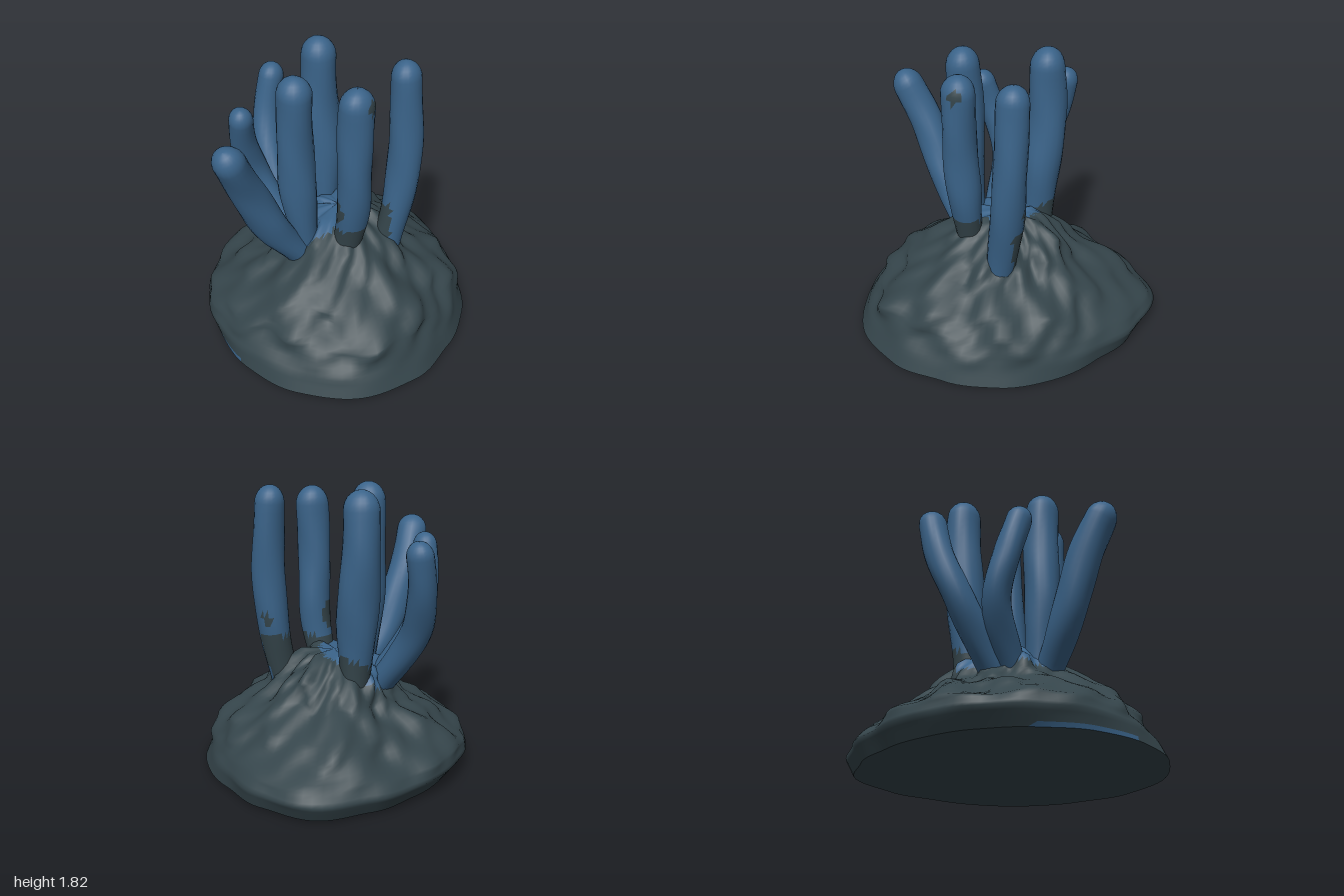
import * as THREE from 'three';

const { lerp, smoothstep } = THREE.MathUtils;
const blue = new THREE.MeshStandardMaterial({ color: 0x3a6389 });
blue.name = 'tentacle blue';
const grey = new THREE.MeshStandardMaterial({ color: 0x35454b });
grey.name = 'mound grey';

// Skins closed rings of points, bottom to top; isBlue(centroid) picks each face's colour
function loft(name, rings, isBlue) {
  const n = rings[0].length, pts = rings.flat();
  const faces = [[], []], mid = new THREE.Vector3();
  for (let i = 0; i < rings.length - 1; i++) {
    for (let j = 0; j < n; j++) {
      const a = i * n + j, b = i * n + (j + 1) % n, c = a + n, d = b + n;
      for (const tri of [[a, c, b], [b, c, d]]) {
        mid.set(0, 0, 0);
        tri.forEach(k => mid.addScaledVector(pts[k], 1 / 3));
        faces[isBlue(mid) ? 0 : 1].push(...tri);
      }
    }
  }
  const geo = new THREE.BufferGeometry().setFromPoints(pts);
  geo.setIndex([...faces[0], ...faces[1]]);
  geo.addGroup(0, faces[0].length, 0);
  geo.addGroup(faces[0].length, faces[1].length, 1);
  geo.computeVertexNormals();
  const mesh = new THREE.Mesh(geo, [blue, grey]);
  mesh.name = name;
  return mesh;
}

// Eased value at angle a from a list spread evenly around the circle
function around(list, a) {
  const s = a / (Math.PI * 2) * list.length, i = Math.floor(s), f = s - i;
  return lerp(list[i % list.length], list[(i + 1) % list.length], f * f * (3 - 2 * f));
}

// Footprint radius from +x towards +z
const outline = [.87, .9, .97, 1.01, .985, .95, .925, .88, .85, .83, .84, .9, .985, .92, .85, .85];
// Height, then share of the footprint towards +x, +z, -x, -z
const levels = [
  [.015, 1, 1, .92, .95], [.12, .95, .95, 1.02, 1.01], [.2, .92, .89, 1, .94], [.28, .87, .86, .85, .81],
  [.37, .78, .75, .71, .7], [.43, .66, .69, .53, .6], [.5, .53, .58, .46, .48], [.63, .4, .4, .39, .36],
  [.745, .22, .24, .17, .2], [.76, .002, .002, .002, .002],
];

function makeMound() {
  const seg = 108, steps = 4;
  const ring = ([y, ...shares]) => Array.from({ length: seg }, (_, j) => {
    const a = j / seg * Math.PI * 2, share = around(shares, a);
    // Rocky folds, fading out at the foot and at the crown
    const amp = smoothstep(y, .08, .3) * Math.min(1, share * 3);
    const fold = .025 * Math.sin(5 * a + 11 * y) + .022 * Math.sin(11 * a - 17 * y + 1) + .014 * Math.sin(19 * a + 26 * y);
    const r = around(outline, a) * (share + amp * fold);
    const lift = amp * (.016 * Math.sin(7 * a + 2) + .012 * Math.sin(13 * a + 9 * share));
    return new THREE.Vector3(r * Math.cos(a), y + lift, r * Math.sin(a));
  });
  // Flat underside with its own edge ring, then the slopes
  const foot = ring(levels[0]);
  const rings = [foot.map(() => new THREE.Vector3(0, 0, 0)), foot, foot.map(p => p.clone())];
  for (let i = 0; i < levels.length - 1; i++) {
    for (let s = 1; s <= steps; s++) {
      rings.push(ring(levels[i].map((v, c) => lerp(v, levels[i + 1][c], s / steps))));
    }
  }
  return loft('mound', rings, p => {
    const crown = p.y > .57 && ((p.x + .2) / .31) ** 2 + ((p.z - .05) / .3) ** 2 < 1;
    const streak = p.y > .016 && p.y < .045 && p.x < -.43 && p.x > -.8 && p.z > .3;
    return crown || streak;
  });
}

// A round-tipped arm along a path, with radii at its base, middle and tip
function makeTentacle(name, [base, middle, tip], path, isBlue = () => true) {
  const curve = new THREE.CatmullRomCurve3(path.map(p => new THREE.Vector3(...p)));
  const capAt = 1 - tip * 1.15 / curve.getLength();
  const stations = [];
  for (let i = 0; i <= 22; i++) stations.push([capAt * i / 22, 1]);
  for (let i = 1; i <= 7; i++) {
    const c = i / 7 * Math.PI / 2;
    stations.push([capAt + (1 - capAt) * Math.sin(c), Math.max(Math.cos(c), .01)]);
  }
  const rings = stations.map(([u, cap]) => {
    const c = curve.getPointAt(u), t = curve.getTangentAt(u);
    const side = new THREE.Vector3().crossVectors(t, new THREE.Vector3(0, 0, 1)).normalize();
    const front = new THREE.Vector3().crossVectors(side, t);
    const radius = cap * (u < .4 ? lerp(base, middle, smoothstep(u, 0, .4)) : lerp(middle, tip, smoothstep(u, .4, 1)));
    return Array.from({ length: 20 }, (_, j) => {
      const a = j / 20 * Math.PI * 2;
      // Slight hand-modelled lumps
      const r = radius * (1 + .03 * Math.sin(2 * a + 9 * u + path[0][0] * 9) + .02 * Math.sin(3 * a - 17 * u));
      return c.clone().addScaledVector(side, r * Math.cos(a)).addScaledVector(front, r * Math.sin(a));
    });
  });
  return loft(name, rings, isBlue);
}

const spot = (p, x, y, z, r) => Math.hypot(p.x - x, p.y - y, p.z - z) < r;

export function createModel() {
  const model = new THREE.Group();
  model.name = 'tentacleMound';
  model.add(
    makeMound(),
    // Short leaning arms on the right
    makeTentacle('frontRightTentacle', [.085, .11, .1],
      [[-.16, .54, .3], [-.3, .82, .44], [-.41, 1.2, .58], [-.46, 1.53, .74]]),
    makeTentacle('backRightTentacle', [.09, .095, .085],
      [[-.3, .54, 0], [-.52, .92, -.16], [-.565, 1.2, -.28], [-.54, 1.54, -.36]]),
    makeTentacle('sideRightTentacle', [.09, .09, .078],
      [[-.28, .54, .1], [-.52, .92, .06], [-.57, 1.2, .14], [-.55, 1.5, .23]]),
    // Tall upright arms, stained grey at some roots
    makeTentacle('backCentreTentacle', [.1, .13, .11],
      [[-.15, .6, -.18], [-.165, 1, -.205], [-.19, 1.4, -.235], [-.19, 1.82, -.23]],
      p => p.y > .74 + .3 * (p.x + .15) - .3 * (p.z + .2)),
    makeTentacle('frontCentreTentacle', [.09, .115, .107],
      [[-.15, .6, .25], [-.18, 1, .28], [-.19, 1.4, .28], [-.18, 1.81, .3]]),
    makeTentacle('frontLeftTentacle', [.085, .108, .105],
      [[.11, .58, .23], [.17, .94, .26], [.175, 1.3, .28], [.19, 1.78, .28]],
      p => p.y > .8 && !spot(p, .29, 1.68, .29, .045) && !spot(p, .08, .93, .27, .1)),
    makeTentacle('sideLeftTentacle', [.09, .107, .096],
      [[.33, .5, .03], [.395, .9, -.02], [.42, 1.25, -.04], [.395, 1.82, -.06]],
      p => (p.y > .86 || (p.x > .37 && p.z > -.06)) && !spot(p, .42, .98, -.13, .04)),
  );
  return model;
}
